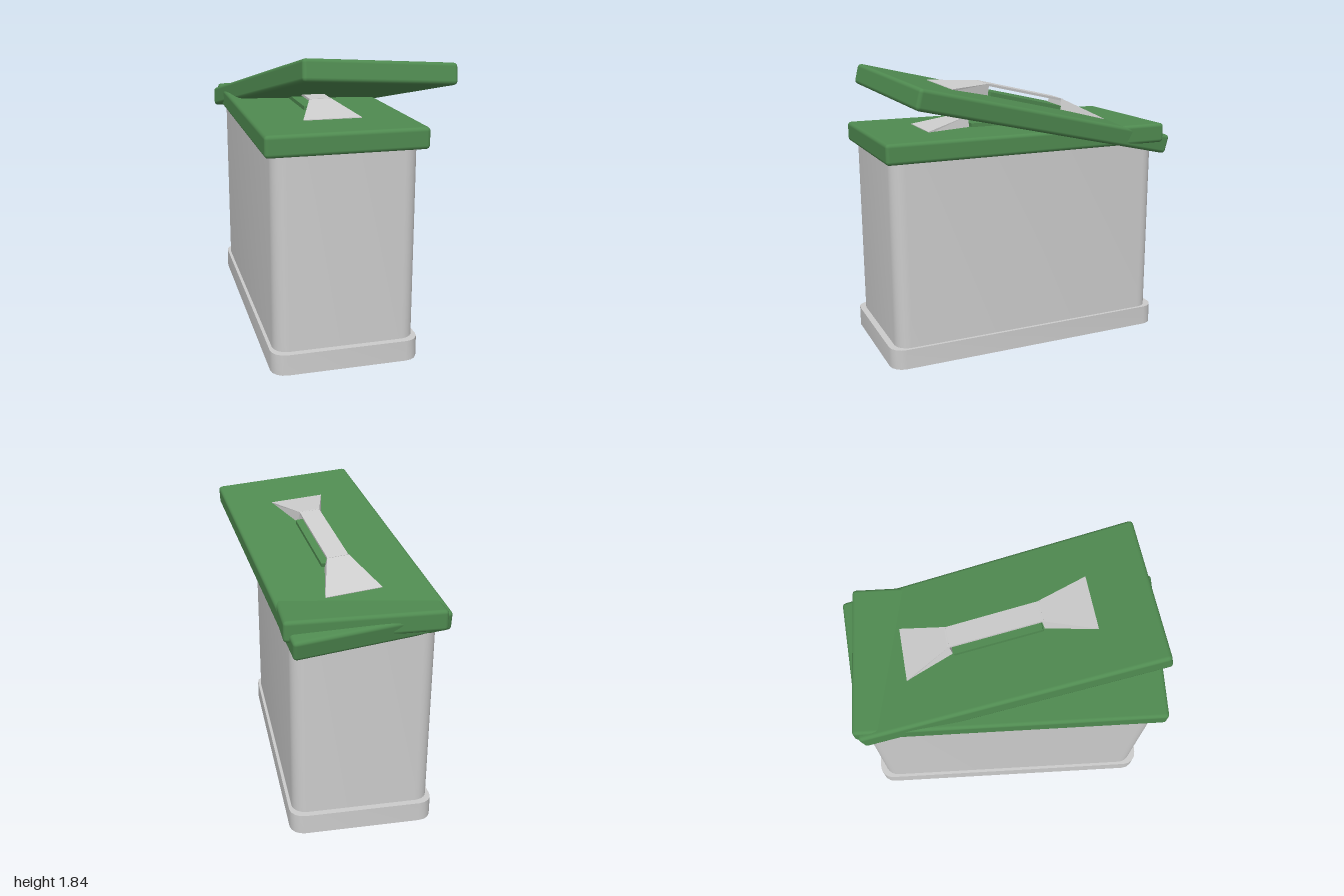
import * as THREE from 'three';
import { toCreasedNormals } from 'three/addons/utils/BufferGeometryUtils.js';
import { RoundedBoxGeometry } from 'three/addons/geometries/RoundedBoxGeometry.js';

const grey = new THREE.MeshStandardMaterial({ color: 0xcccccc });
const green = new THREE.MeshStandardMaterial({ color: 0x4f8a50 });

function part(name, geometry, material, x = 0, y = 0, z = 0) {
  const mesh = new THREE.Mesh(geometry, material);
  mesh.name = name;
  mesh.position.set(x, y, z);
  return mesh;
}

// Upright block with rounded vertical corners, standing on y = 0
function roundedPrism(width, depth, height, r, segments) {
  const w = width / 2 - r, d = depth / 2 - r;
  const s = new THREE.Shape();
  s.absarc(w, d, r, 0, Math.PI / 2);
  s.absarc(-w, d, r, Math.PI / 2, Math.PI);
  s.absarc(-w, -d, r, Math.PI, Math.PI * 1.5);
  s.absarc(w, -d, r, Math.PI * 1.5, Math.PI * 2);
  s.closePath();
  const g = new THREE.ExtrudeGeometry(s, { depth: height, bevelEnabled: false, curveSegments: segments });
  g.rotateX(-Math.PI / 2);
  return toCreasedNormals(g, 0.9);
}

// Flared wedge: low and wide at its outer end (z = 0.6), tall and narrow inside (z = 0.29)
function handleFoot() {
  const g = new THREE.BoxGeometry(2, 1, 1);
  const p = g.attributes.position;
  for (let i = 0; i < p.count; i++) {
    const outer = p.getZ(i) > 0, top = p.getY(i) > 0;
    const half = outer ? 0.18 : top ? 0.068 : 0.085;
    p.setXYZ(i, p.getX(i) * half, top ? (outer ? 0.004 : 0.073) : -0.01, outer ? 0.6 : 0.29);
  }
  const flat = g.toNonIndexed();
  flat.computeVertexNormals();
  return flat;
}

// Lid centred on its own origin, with a strap handle on top
function makeLid(name) {
  const lid = new THREE.Group();
  lid.name = name;
  lid.add(part('lidPanel', new RoundedBoxGeometry(0.96, 0.13, 1.92, 2, 0.024), green));
  lid.add(part('handlePad', new THREE.BoxGeometry(0.2, 0.035, 0.56), green, 0, 0.0725, 0));
  lid.add(part('handleStrap', new THREE.BoxGeometry(0.136, 0.015, 0.6), grey, 0, 0.13, 0));
  for (const turn of [0, Math.PI]) {
    const foot = part('handleFoot', handleFoot(), grey, 0, 0.065, 0);
    foot.rotation.y = turn;
    lid.add(foot);
  }
  return lid;
}

export function createModel() {
  const model = new THREE.Group();
  model.name = 'binWithTwoLids';
  const cx = -0.087, cz = 0.04;

  // Plinth and bin body
  model.add(part('base', roundedPrism(0.91, 1.92, 0.13, 0.09, 2), grey, cx, 0, cz));
  model.add(part('body', roundedPrism(0.87, 1.84, 1.22, 0.09, 3), grey, cx, 0.11, cz));

  // Closed lid
  const closed = makeLid('closedLid');
  closed.position.set(cx, 1.375, cz);
  model.add(closed);

  // Loose lid lying askew on top, rising towards the front
  const loose = makeLid('looseLid');
  const along = new THREE.Vector3(0.26, 0.44, 1.86).normalize();
  const across = new THREE.Vector3(0.94, -0.07, -0.12);
  const up = along.clone().cross(across).normalize();
  across.crossVectors(up, along);
  loose.quaternion.setFromRotationMatrix(new THREE.Matrix4().makeBasis(across, up, along));
  loose.position.set(0, 1.533, -0.005);
  model.add(loose);

  return model;
}
